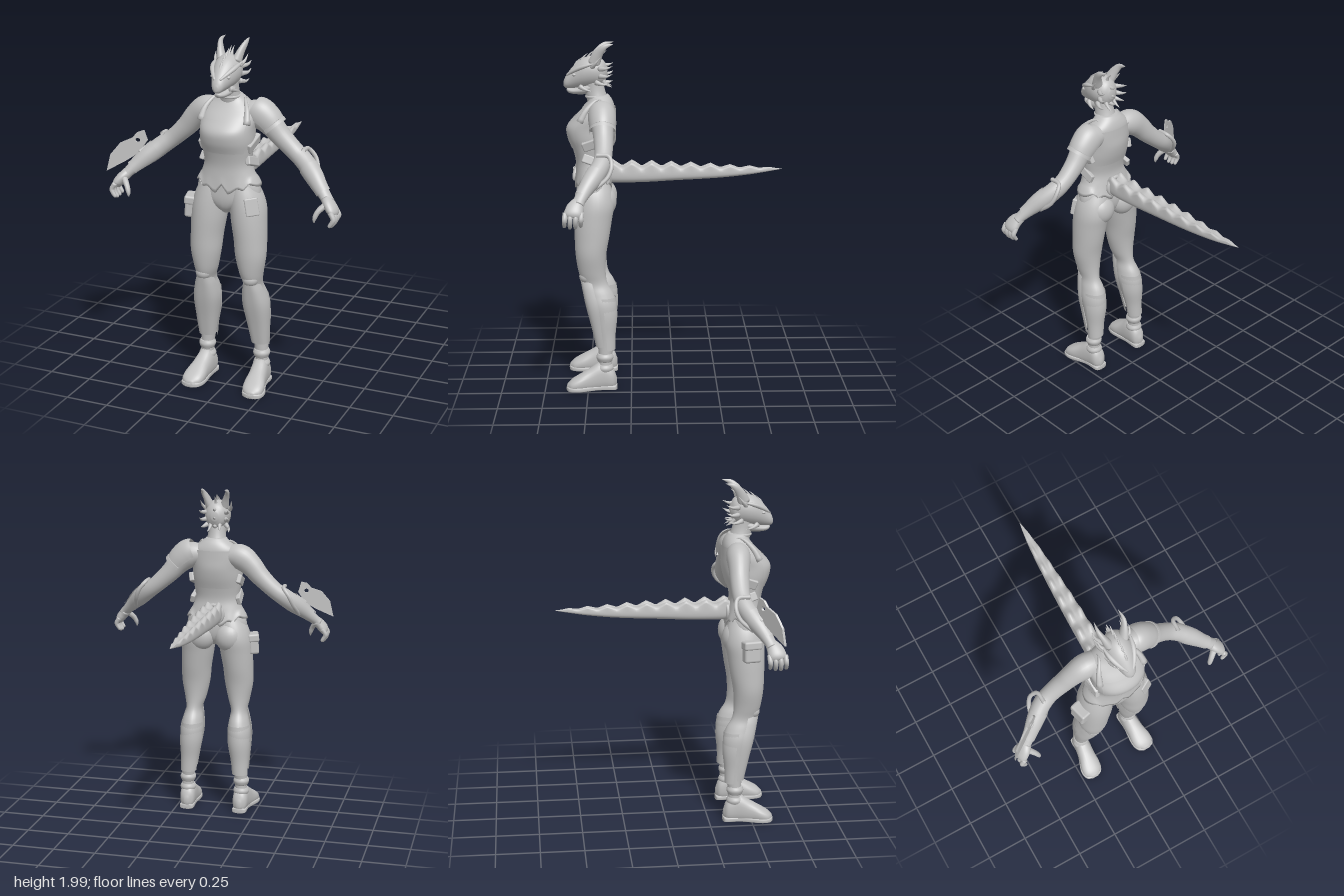
import * as THREE from 'three';
import { RoundedBoxGeometry } from 'three/addons/geometries/RoundedBoxGeometry.js';

const V = (x, y, z) => new THREE.Vector3(x, y, z);
const X = V(1, 0, 0), Y = V(0, 1, 0), Z = V(0, 0, 1);

// Smooth skin through cross-sections [x, y, z, halfWidth along ref, halfWidth across].
// axis fixes the ring plane; without it the rings follow the path.
function loft(secs, { axis, ref = X, n = 2, seg = 28, sub = 5, arc, deform } = {}) {
  const path = new THREE.CatmullRomCurve3(secs.map(s => V(s[0], s[1], s[2])), false, 'catmullrom');
  const size = new THREE.CatmullRomCurve3(secs.map(s => V(s[3], s[4], 0)), false, 'catmullrom');
  const rows = (secs.length - 1) * sub, cols = arc ? seg + 1 : seg;
  const [a0, a1] = arc ? arc.map(THREE.MathUtils.degToRad) : [0, Math.PI * 2];
  const pos = [], idx = [];
  const pow = c => Math.sign(c) * Math.abs(c) ** (2 / n);
  for (let j = 0; j <= rows; j++) {
    const c = path.getPoint(j / rows), r = size.getPoint(j / rows);
    const t = axis || path.getTangent(j / rows);
    const u = ref.clone().addScaledVector(t, -ref.dot(t)).normalize();
    const v = t.clone().cross(u);
    for (let i = 0; i < cols; i++) {
      const th = a0 + (a1 - a0) * i / seg;
      const p = c.clone().addScaledVector(u, r.x * pow(Math.cos(th))).addScaledVector(v, r.y * pow(Math.sin(th)));
      if (deform) deform(p, c, r, j / rows);
      pos.push(p.x, p.y, p.z);
    }
  }
  for (let j = 0; j < rows; j++) for (let i = 0; i < seg; i++) {
    const k = arc ? i + 1 : (i + 1) % seg;
    const a = j * cols + i, b = j * cols + k, d = a + cols, e = b + cols;
    idx.push(a, b, e, a, e, d);
  }
  if (!arc) [0, rows].forEach(j => {
    const c = path.getPoint(j / rows), m = pos.length / 3;
    pos.push(c.x, c.y, c.z);
    for (let i = 0; i < seg; i++) {
      const a = j * cols + i, b = j * cols + (i + 1) % seg;
      j ? idx.push(m, a, b) : idx.push(m, b, a);
    }
  });
  const g = new THREE.BufferGeometry();
  g.setAttribute('position', new THREE.Float32BufferAttribute(pos, 3));
  g.setIndex(idx);
  g.computeVertexNormals();
  return g;
}

const spike = (pts, r, ref = X) =>
  loft(pts.map((p, i) => { const w = r * (1 - i / (pts.length - 1)) + 0.0008; return [...p, w, w]; }), { ref, seg: 10, sub: 4 });
const ball = (x, y, z, a, b, c) => new THREE.SphereGeometry(1, 24, 16).scale(a, b, c).translate(x, y, z);
const block = (w, h, d, x, y, z, rx = 0, ry = 0, rz = 0) =>
  new RoundedBoxGeometry(w, h, d, 2, Math.min(w, h, d) * 0.25).rotateX(rx).rotateY(ry).rotateZ(rz).translate(x, y, z);
const grow = (secs, d) => secs.map(([x, y, z, a, b]) => [x, y, z, a + d, b + d]);

function mirrored(g) {
  const m = g.clone().scale(-1, 1, 1);
  const src = m.index ? Array.from(m.index.array) : Array.from({ length: m.attributes.position.count }, (_, i) => i);
  for (let i = 0; i < src.length; i += 3) [src[i], src[i + 1]] = [src[i + 1], src[i]];
  m.setIndex(src);
  return m;
}

export function createModel() {
  const grey = new THREE.MeshStandardMaterial({ name: 'plain grey', color: 0xc0c0c0, side: THREE.DoubleSide });
  const root = new THREE.Group(), body = new THREE.Group();
  body.name = 'figure';
  body.position.x = 0.012;
  root.add(body);
  const add = (name, geo) => { const m = new THREE.Mesh(geo, grey); m.name = name; body.add(m); };
  const pair = (name, geo) => { add(name + 'Left', geo); add(name + 'Right', mirrored(geo)); };
  const up = { axis: Y };

  // Hips and bodice with a zigzag hem
  add('hips', loft([[0, 1.045, 0.465, 0.03, 0.05], [0, 1.08, 0.46, 0.09, 0.085], [0, 1.13, 0.458, 0.175, 0.1],
    [0, 1.2, 0.458, 0.18, 0.1], [0, 1.27, 0.465, 0.145, 0.09], [0, 1.33, 0.47, 0.13, 0.085]], up));
  const bodice = [[0, 1.2, 0.46, 0.188, 0.107], [0, 1.27, 0.465, 0.153, 0.095], [0, 1.33, 0.47, 0.135, 0.092],
    [0, 1.4, 0.472, 0.142, 0.107], [0, 1.46, 0.474, 0.149, 0.128], [0, 1.52, 0.47, 0.15, 0.135],
    [0, 1.58, 0.448, 0.155, 0.112], [0, 1.63, 0.425, 0.14, 0.088], [0, 1.67, 0.417, 0.095, 0.068], [0, 1.7, 0.425, 0.058, 0.055]];
  const hem = x => {
    const k = [[0, 1.22], [0.04, 1.165], [0.09, 1.205], [0.12, 1.19], [0.15, 1.23], [0.2, 1.2]];
    const i = Math.max(1, k.findIndex(q => q[0] >= x));
    return THREE.MathUtils.mapLinear(x, k[i - 1][0], k[i][0], k[i - 1][1], k[i][1]);
  };
  add('bodice', loft(bodice, {
    axis: Y, n: 2.15, seg: 72,
    deform: (p, c, r, t) => { const w = Math.max(0, 1 - t * 9); p.y += (hem(Math.min(0.199, Math.abs(p.x))) - 1.2) * w; },
  }));
  add('breastplate', loft(grow(bodice.slice(3, 7), 0.005), { axis: Y, n: 2.15, arc: [-145, -35] }));
  add('backPlate', loft(grow(bodice.slice(3, 8), 0.007), { axis: Y, n: 2.15, arc: [35, 145] }));
  pair('upperWaistPlate', block(0.03, 0.055, 0.13, 0.142, 1.44, 0.455, 0.35, 0, -0.2));
  pair('lowerWaistPlate', block(0.028, 0.05, 0.12, 0.138, 1.34, 0.46, -0.35, 0, 0.25));
  pair('collarStrap', spike([[0.135, 1.56, 0.53], [0.12, 1.63, 0.49], [0.085, 1.68, 0.43], [0.08, 1.66, 0.37]], 0.02, Z));
  add('neck', loft([[0, 1.65, 0.425, 0.068, 0.062], [0, 1.72, 0.446, 0.053, 0.058], [0, 1.8, 0.46, 0.052, 0.055]], up));
  add('neckRing', new THREE.TorusGeometry(0.056, 0.008, 8, 32).rotateX(Math.PI / 2).translate(0, 1.69, 0.44));

  // Legs
  pair('leg', loft([[0.17, 0.1, 0.4, 0.037, 0.04], [0.168, 0.2, 0.4, 0.038, 0.039], [0.162, 0.3, 0.396, 0.047, 0.052],
    [0.155, 0.4, 0.405, 0.06, 0.068], [0.149, 0.5, 0.417, 0.07, 0.086], [0.145, 0.57, 0.433, 0.06, 0.083],
    [0.142, 0.63, 0.455, 0.049, 0.071], [0.137, 0.7, 0.472, 0.066, 0.078], [0.135, 0.8, 0.477, 0.086, 0.088],
    [0.13, 0.9, 0.47, 0.092, 0.099], [0.12, 1.0, 0.463, 0.099, 0.108], [0.112, 1.08, 0.455, 0.1, 0.113],
    [0.1, 1.15, 0.455, 0.092, 0.104], [0.085, 1.22, 0.46, 0.07, 0.085]], up));
  pair('buttock', ball(0.085, 1.1, 0.4, 0.085, 0.09, 0.072));
  pair('shinGuard', loft([[0.163, 0.26, 0.398, 0.05, 0.056], [0.158, 0.38, 0.41, 0.064, 0.07], [0.151, 0.5, 0.42, 0.076, 0.09],
    [0.145, 0.59, 0.445, 0.062, 0.083], [0.142, 0.645, 0.46, 0.046, 0.078]], { axis: Y, n: 2.7, arc: [-175, -5] }));
  pair('calfGuard', loft([[0.163, 0.24, 0.392, 0.049, 0.05], [0.158, 0.33, 0.398, 0.055, 0.058], [0.151, 0.44, 0.408, 0.069, 0.079],
    [0.146, 0.55, 0.425, 0.066, 0.088]], { axis: Y, arc: [5, 175] }));
  pair('kneeCap', ball(0.142, 0.67, 0.5, 0.046, 0.042, 0.046));

  // Boots
  const ground = p => { p.y = Math.max(p.y, 0.005); };
  pair('boot', loft([[0.167, 0.05, 0.335, 0.012, 0.02], [0.167, 0.065, 0.36, 0.042, 0.062], [0.169, 0.08, 0.42, 0.048, 0.085],
    [0.176, 0.06, 0.49, 0.053, 0.066], [0.183, 0.044, 0.55, 0.062, 0.046], [0.187, 0.03, 0.595, 0.054, 0.032],
    [0.188, 0.024, 0.622, 0.02, 0.012]], { axis: Z, n: 2.3, deform: ground }));
  pair('sole', loft([[0.167, 0.014, 0.333, 0.02, 0.014], [0.167, 0.014, 0.35, 0.044, 0.014], [0.17, 0.014, 0.44, 0.043, 0.014],
    [0.184, 0.014, 0.55, 0.066, 0.014], [0.188, 0.014, 0.605, 0.054, 0.014], [0.188, 0.014, 0.625, 0.022, 0.012]], { axis: Z, n: 5 }));
  for (const [i, y] of [0.13, 0.195].entries())
    pair('ankleBand' + (i + 1), loft([[0.169, y - 0.025, 0.403, 0.04, 0.042], [0.169, y, 0.403, 0.049, 0.05], [0.169, y + 0.022, 0.403, 0.04, 0.042]], up));

  // Arms
  const along = { ref: Y };
  pair('arm', loft([[0.08, 1.6, 0.41, 0.06, 0.06], [0.155, 1.59, 0.405, 0.076, 0.068], [0.22, 1.543, 0.4, 0.067, 0.06],
    [0.28, 1.478, 0.395, 0.057, 0.054], [0.36, 1.405, 0.395, 0.05, 0.049], [0.42, 1.36, 0.41, 0.052, 0.05],
    [0.48, 1.31, 0.445, 0.052, 0.048], [0.54, 1.255, 0.488, 0.039, 0.038], [0.585, 1.212, 0.518, 0.03, 0.034],
    [0.605, 1.19, 0.53, 0.03, 0.036]], along));
  pair('bracer', loft([[0.455, 1.333, 0.43, 0.057, 0.054], [0.5, 1.293, 0.46, 0.054, 0.05], [0.545, 1.25, 0.492, 0.044, 0.042],
    [0.57, 1.227, 0.508, 0.04, 0.04]], { ref: Y, arc: [-40, 130] }));
  pair('elbowGuard', new THREE.TubeGeometry(new THREE.CatmullRomCurve3([V(0.42, 1.425, 0.43), V(0.425, 1.42, 0.365),
    V(0.46, 1.375, 0.348), V(0.485, 1.315, 0.37), V(0.505, 1.255, 0.44)]), 32, 0.012, 8));

  // Hands
  pair('palm', loft([[0.59, 1.205, 0.522, 0.034, 0.028], [0.615, 1.18, 0.54, 0.046, 0.03], [0.638, 1.15, 0.55, 0.05, 0.028],
    [0.645, 1.13, 0.555, 0.04, 0.018]], { ref: Z }));
  for (let i = 0; i < 4; i++) {
    const z = 0.507 + i * 0.029, d = Math.abs(i - 1.6) * 0.008;
    pair('finger' + (i + 1), loft([[0.637, 1.155, z, 0.014, 0.014], [0.655, 1.125, z + 0.002, 0.014, 0.014],
      [0.652, 1.095 + d, z + 0.004, 0.013, 0.013], [0.636, 1.07 + d, z + 0.005, 0.01, 0.01], [0.631, 1.063 + d, z + 0.005, 0.003, 0.003]],
    { ref: Z, seg: 12 }));
  }
  pair('thumb', loft([[0.6, 1.185, 0.555, 0.02, 0.018], [0.567, 1.15, 0.585, 0.016, 0.015], [0.552, 1.115, 0.597, 0.013, 0.012],
    [0.55, 1.09, 0.6, 0.003, 0.003]], { ref: Z, seg: 12 }));

  // Single shoulder guard, on the left
  add('shoulderGuard', loft([[0.125, 1.612, 0.405, 0.078, 0.074], [0.16, 1.598, 0.405, 0.089, 0.078], [0.2, 1.567, 0.402, 0.085, 0.076],
    [0.235, 1.53, 0.4, 0.076, 0.07]], { ref: Y, arc: [-110, 110] }));
  add('shoulderRim', loft([[0.228, 1.538, 0.4, 0.08, 0.074], [0.242, 1.522, 0.4, 0.08, 0.074]], { ref: Y, arc: [-110, 110] }));

  // Forearm blade with a round hole, on the right
  const outline = [[-0.511, 1.445], [-0.542, 1.435], [-0.565, 1.405], [-0.622, 1.38], [-0.67, 1.315], [-0.69, 1.22],
    [-0.6, 1.272], [-0.558, 1.3], [-0.525, 1.335], [-0.495, 1.385]];
  const shape = new THREE.Shape(outline.map(p => new THREE.Vector2(...p)));
  shape.holes.push(new THREE.Path().absarc(-0.54, 1.39, 0.012, 0, Math.PI * 2, true));
  const blade = new THREE.ExtrudeGeometry(shape, { depth: 0.012, bevelEnabled: false, curveSegments: 10 });
  const bp = blade.attributes.position;
  for (let i = 0; i < bp.count; i++) bp.setZ(i, bp.getZ(i) + 0.44 + (-bp.getX(i) - 0.47) * 0.62);
  blade.computeVertexNormals();
  add('forearmBlade', blade);
  add('bladeMount', block(0.05, 0.04, 0.03, -0.515, 1.325, 0.472, 0, 0.55, 0.7));

  // Hip gear
  add('pouch', block(0.06, 0.12, 0.1, -0.222, 1.05, 0.48, 0, 0.25, -0.08));
  add('pouchFlap', block(0.068, 0.05, 0.108, -0.22, 1.09, 0.48, 0, 0.25, -0.08));
  add('hipPad', block(0.075, 0.1, 0.03, 0.165, 1.105, 0.535, -0.1, 0.5, 0.15));

  // Head
  add('head', loft([[0, 1.83, 0.375, 0.02, 0.025], [0, 1.83, 0.4, 0.056, 0.068], [0, 1.835, 0.45, 0.075, 0.086],
    [0, 1.828, 0.5, 0.072, 0.085], [0, 1.815, 0.54, 0.06, 0.075], [0, 1.793, 0.58, 0.043, 0.056],
    [0, 1.773, 0.61, 0.029, 0.035], [0, 1.763, 0.624, 0.01, 0.014]], { axis: Z }));
  add('jaw', loft([[0, 1.755, 0.44, 0.05, 0.035], [0, 1.733, 0.5, 0.046, 0.03], [0, 1.722, 0.56, 0.033, 0.019],
    [0, 1.724, 0.595, 0.02, 0.013], [0, 1.73, 0.607, 0.005, 0.005]], { axis: Z }));
  pair('eye', ball(0.046, 1.818, 0.561, 0.012, 0.009, 0.013));
  pair('brow', loft([[0.015, 1.81, 0.605, 0.006, 0.005], [0.042, 1.838, 0.566, 0.012, 0.01], [0.066, 1.865, 0.51, 0.014, 0.012],
    [0.08, 1.885, 0.44, 0.002, 0.002]], { ref: X, seg: 12 }));
  pair('horn', loft([[0.042, 1.88, 0.45, 0.028, 0.036], [0.06, 1.935, 0.425, 0.018, 0.027], [0.074, 1.975, 0.39, 0.011, 0.016],
    [0.071, 1.992, 0.34, 0.001, 0.001]], { ref: X, seg: 16 }));
  const spines = [[[0.06, 1.86, 0.46], [0.085, 1.885, 0.44], [0.094, 1.92, 0.41]],
    [[0.055, 1.85, 0.42], [0.08, 1.855, 0.38], [0.085, 1.87, 0.345]],
    [[0.055, 1.81, 0.42], [0.078, 1.81, 0.38], [0.083, 1.825, 0.345]],
    [[0.055, 1.775, 0.44], [0.074, 1.765, 0.4], [0.078, 1.77, 0.36]],
    [[0.025, 1.79, 0.41], [0.03, 1.76, 0.38], [0.032, 1.745, 0.35]],
    [[0.04, 1.75, 0.53], [0.058, 1.735, 0.5], [0.066, 1.725, 0.46]]];
  spines.forEach((s, i) => pair('headSpine' + (i + 1), spike(s, 0.015, Y)));
  for (let i = 0; i < 5; i++) {
    const z = 0.56 - i * 0.035, y = [1.865, 1.89, 1.905, 1.912, 1.905][i];
    add('crestSpine' + (i + 1), spike([[0, y - 0.012, z], [0, y + 0.018, z - 0.012], [0, y + 0.045, z - 0.04]], 0.011));
  }
  for (let i = 0; i < 3; i++)
    add('napeSpine' + (i + 1), spike([[0, 1.87 - i * 0.05, 0.4], [0, 1.87 - i * 0.05, 0.37], [0, 1.88 - i * 0.05, 0.345]], 0.013, Y));

  // Long straight tail with two rows of teeth along its upper edges
  add('tail', loft([[0, 1.243, 0.39, 0.05, 0.05], [0, 1.24, 0.3, 0.056, 0.05], [0, 1.24, 0.15, 0.054, 0.047], [0, 1.243, 0, 0.05, 0.041],
    [0, 1.245, -0.15, 0.044, 0.036], [0, 1.247, -0.3, 0.036, 0.028], [0, 1.254, -0.45, 0.026, 0.018],
    [0, 1.262, -0.56, 0.013, 0.008], [0, 1.266, -0.625, 0.001, 0.001]], {
    axis: V(0, 0, -1), n: 2.6, seg: 32, sub: 12,
    deform: (p, c, r) => {
      const f = ((p.z - 0.013) / 0.113 + 100) % 1, tooth = Math.abs(2 * f - 1);
      const side = Math.min(1, Math.abs(p.x) / (r.x * 0.6));
      const dy = p.y - c.y;
      if (dy > r.y * 0.4) p.y += r.y * (0.75 * tooth * side - 0.1 * (1 - side));
      else if (dy < -r.y * 0.4) p.y += r.y * 0.25 * (1 - side);
    },
  }));
  add('tailCollar', new THREE.TorusGeometry(0.055, 0.012, 10, 32).translate(0, 1.243, 0.365));
  return root;
}
